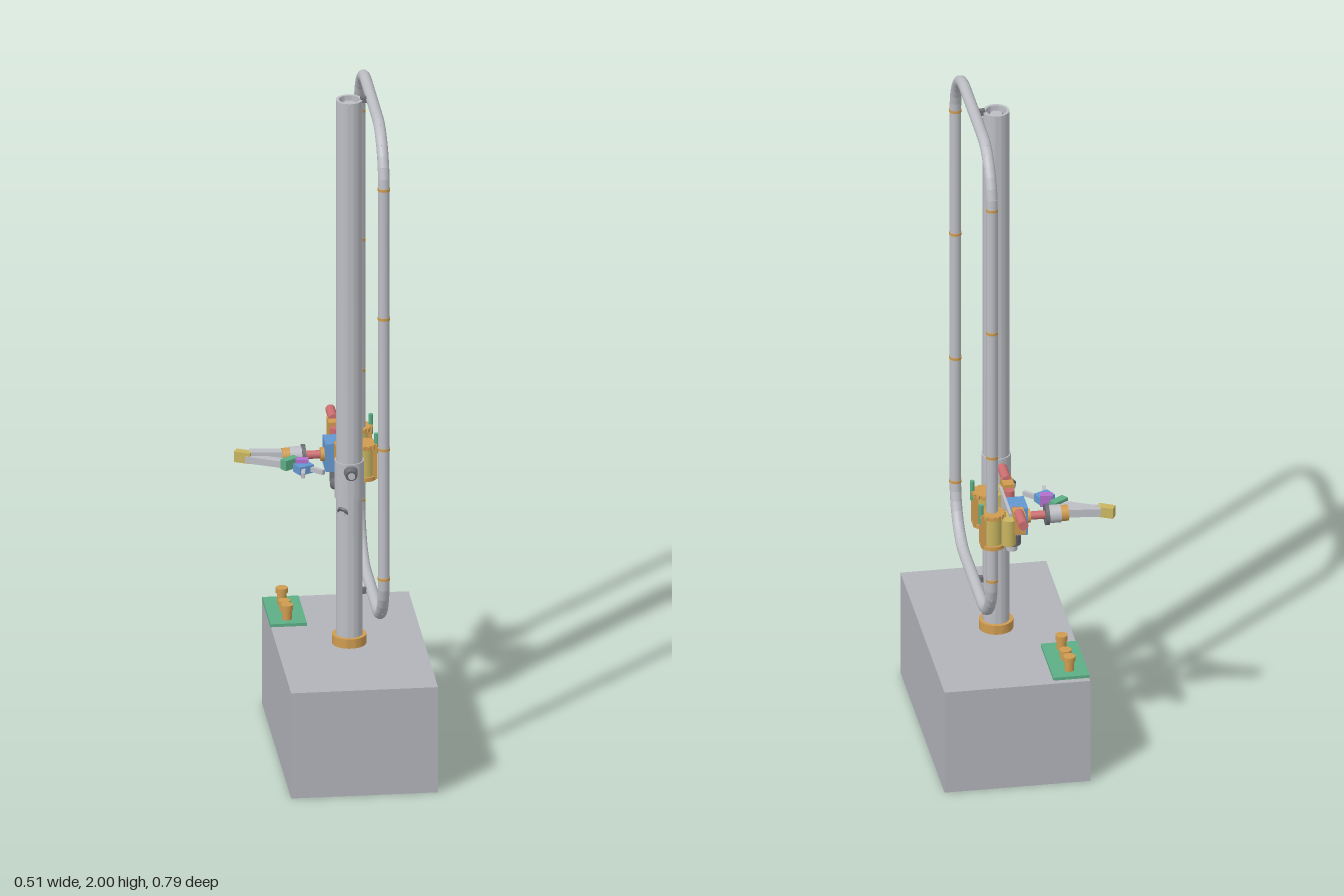
import * as THREE from 'three';
import { toCreasedNormals } from 'three/addons/utils/BufferGeometryUtils.js';

const paint = (name, color) => {
  const m = new THREE.MeshStandardMaterial({ color });
  m.name = name;
  return m;
};
const V = (x, y, z) => new THREE.Vector3(x, y, z);

export function createModel() {
  const model = new THREE.Group();
  const grey = paint('light grey', 0xbcbec4);
  const stone = paint('base grey', 0xb2b3ba);
  const dark = paint('dark grey', 0x6c6e74);
  const orange = paint('orange', 0xcf9c50);
  const yellow = paint('yellow', 0xc8b560);
  const red = paint('red', 0xcb6e70);
  const green = paint('green', 0x5cae86);
  const blue = paint('blue', 0x6498d0);
  const purple = paint('purple', 0xb070cc);

  const add = (name, geo, mat, parent = model) => {
    const m = new THREE.Mesh(geo, mat);
    m.name = name;
    parent.add(m);
    return m;
  };
  // box given by its centre, size and turn about y
  const box = (name, mat, c, s, turn = 0, parent = model) => {
    const m = add(name, new THREE.BoxGeometry(...s), mat, parent);
    m.position.set(...c);
    m.rotation.y = turn;
    return m;
  };
  // cylinder between two points
  const rod = (name, mat, a, b, r, parent = model, r2 = r, sides = 24) => {
    const d = b.clone().sub(a);
    const m = add(name, new THREE.CylinderGeometry(r2, r, d.length(), sides), mat, parent);
    m.position.copy(a).addScaledVector(d, 0.5);
    m.quaternion.setFromUnitVectors(V(0, 1, 0), d.normalize());
    return m;
  };
  // hollow upright tube
  const pipe = (name, mat, x, y, z, r, inner, h) => {
    const s = new THREE.Shape().absarc(0, 0, r, 0, Math.PI * 2);
    s.holes.push(new THREE.Path().absarc(0, 0, inner, 0, Math.PI * 2, true));
    const g = new THREE.ExtrudeGeometry(s, { depth: h, bevelEnabled: false, curveSegments: 20 });
    g.rotateX(-Math.PI / 2);
    const m = add(name, toCreasedNormals(g, 0.6), mat);
    m.position.set(x, y, z);
    return m;
  };

  // base and post
  box('base', stone, [0.045, 0.161, 0.027], [0.42, 0.322, 0.735]);
  const px = 0.043, pz = 0.027;
  pipe('post', grey, px, 0.322, pz, 0.038, 0.029, 1.663);
  pipe('postFoot', orange, px, 0.322, pz, 0.049, 0.036, 0.028);
  pipe('postSleeve', grey, px, 0.77, pz, 0.042, 0.036, 0.112);
  rod('postCore', dark, V(px, 1.9, pz), V(px, 1.965, pz), 0.0295);
  rod('postCoreCap', grey, V(px, 1.96, pz), V(px, 1.975, pz), 0.017);

  // nozzles on the sleeve
  [[0, 1, 0.86], [-0.68, -0.73, 0.8], [-0.5, 0.6, 0.735]].forEach(([dx, dz, y], i) => {
    const from = V(px + dx * 0.03, y, pz + dz * 0.03);
    const len = i === 2 ? 0.045 : 0.058;
    const to = V(px + dx * len, y - 0.006, pz + dz * len);
    rod('nozzle', dark, from, to, 0.021, model, 0.017);
    rod('nozzleTip', grey, to, to.clone().add(V(dx * 0.005, 0, dz * 0.005)), 0.01);
  });

  // guide loop: straight runs and rounded corners made of short lengths
  const loop = new THREE.Group();
  loop.name = 'guideLoop';
  model.add(loop);
  const lx = 0.107, tube = 0.0165, R = 0.155, pts = [];
  const corners = [[-0.12, 1.83], [0.18, 1.83], [0.18, 0.636], [-0.12, 0.636]];
  corners.forEach(([z, y], k) => {
    for (let i = 0; i <= 8; i++) {
      const a = Math.PI - (k + i / 8) * Math.PI / 2;
      pts.push(V(lx, y + R * Math.sin(a), z + R * Math.cos(a)));
    }
  });
  pts.forEach((p, i) => {
    const q = pts[(i + 1) % pts.length];
    const over = q.clone().sub(p).normalize().multiplyScalar(0.0015);
    rod('loopLength', grey, p.clone().sub(over), q.clone().add(over), tube, loop);
  });
  for (const z of [-0.275, 0.335])
    for (const y of [0.638, 1.035, 1.435, 1.83])
      rod('loopJoint', orange, V(lx, y - 0.004, z), V(lx, y + 0.004, z), 0.0178, loop);
  for (const y of [0.48, 1.983])
    box('loopBracket', dark, [0.088, y, pz], [0.026, 0.016, 0.016]);

  // carriage
  const car = new THREE.Group();
  car.name = 'carriage';
  model.add(car);
  const cz = -0.217;
  box('backPlate', grey, [0.058, 0.805, cz], [0.008, 0.11, 0.17], 0, car);
  box('gearbox', blue, [0.026, 0.805, cz], [0.054, 0.085, 0.075], 0, car);
  rod('lowerMotor', dark, V(0.04, 0.72, cz), V(0.04, 0.765, cz), 0.026, car);
  rod('lowerMotorEnd', grey, V(0.04, 0.7, cz), V(0.04, 0.72, cz), 0.016, car);
  for (const s of [-1, 1]) {
    const at = (d) => cz + s * d;
    box('driveBlock', orange, [0.036, 0.84, at(0.096)], [0.032, 0.06, 0.054], 0, car);
    rod('driveMotor', red, V(0.037, 0.868, at(0.1)), V(0.037, 0.868, at(0.179)), 0.014, car);
    rod('smallMotor', red, V(0.037, 0.79, at(0.057)), V(0.037, 0.86, at(0.057)), 0.014, car);
    rod('idler', yellow, V(0.065, 0.77, at(0.095)), V(0.065, 0.85, at(0.095)), 0.021, car);
    // clamp jaws around the loop
    const gz = at(0.066);
    box('jawArm', yellow, [0.08, 0.805, gz], [0.04, 0.09, 0.035], 0, car);
    rod('jaw', yellow, V(0.107, 0.76, gz), V(0.107, 0.85, gz), 0.029, car);
    for (const y of [0.752, 0.848])
      rod('jawRing', orange, V(0.107, y, gz), V(0.107, y + 0.012, gz), 0.035, car);
    for (let i = 0; i < 14; i++) {
      const a = i / 14 * Math.PI * 2;
      box('jawTooth', orange, [0.107 + 0.035 * Math.cos(a), 0.854, gz + 0.035 * Math.sin(a)],
        [0.008, 0.01, 0.007], -a, car);
    }
    for (const d of [-0.014, 0.014])
      box('jawRail', orange, [0.135, 0.805, gz + d], [0.014, 0.1, 0.012], 0, car);
    rod('latchPin', green, V(0.141, 0.83, at(0.074)), V(0.141, 0.89, at(0.074)), 0.007, car, 0.007, 8);
  }

  // arm
  const arm = new THREE.Group();
  arm.name = 'arm';
  model.add(arm);
  const y = 0.803;
  const along = (name, mat, x0, x1, r) => rod(name, mat, V(x0, y, cz), V(x1, y, cz), r, arm);
  along('shoulderHub', orange, -0.012, 0.002, 0.02);
  along('shoulderShaft', red, -0.056, -0.012, 0.012);
  along('shoulderFlange', dark, -0.066, -0.055, 0.031);
  along('shoulderMotor', grey, -0.1, -0.065, 0.026);
  along('shoulderCap', orange, -0.122, -0.1, 0.023);
  // bar between two plan points
  const link = (name, mat, [x0, z0], [x1, z1], w, h, dy = 0) => box(name, mat,
    [(x0 + x1) / 2, y + dy, (z0 + z1) / 2],
    [Math.hypot(x1 - x0, z1 - z0), h, w], -Math.atan2(z1 - z0, x1 - x0), arm);
  link('upperArm', grey, [-0.215, -0.228], [-0.115, -0.217], 0.03, 0.024, 0.004);
  link('foreArm', grey, [-0.222, -0.22], [-0.105, -0.162], 0.026, 0.02, -0.004);
  link('elbow', yellow, [-0.252, -0.237], [-0.209, -0.215], 0.025, 0.032);
  link('wrist', green, [-0.126, -0.146], [-0.085, -0.175], 0.024, 0.03);
  link('wristPivot', purple, [-0.091, -0.139], [-0.056, -0.133], 0.024, 0.036, 0.004);
  link('gripperBody', blue, [-0.092, -0.108], [-0.05, -0.128], 0.038, 0.024);
  link('finger', grey, [-0.072, -0.105], [-0.08, -0.058], 0.011, 0.014);
  link('finger', grey, [-0.055, -0.115], [-0.018, -0.079], 0.011, 0.014);

  // tray with pegs
  box('tray', green, [-0.114, 0.326, cz], [0.104, 0.01, 0.21]);
  [[-0.28, 0.375], [-0.215, 0.362], [-0.15, 0.375]].forEach(([z, top]) => {
    rod('peg', orange, V(-0.115, 0.33, z), V(-0.115, top, z), 0.014);
    rod('pegCap', orange, V(-0.115, top - 0.015, z), V(-0.115, top, z), 0.0175);
  });

  return model;
}
